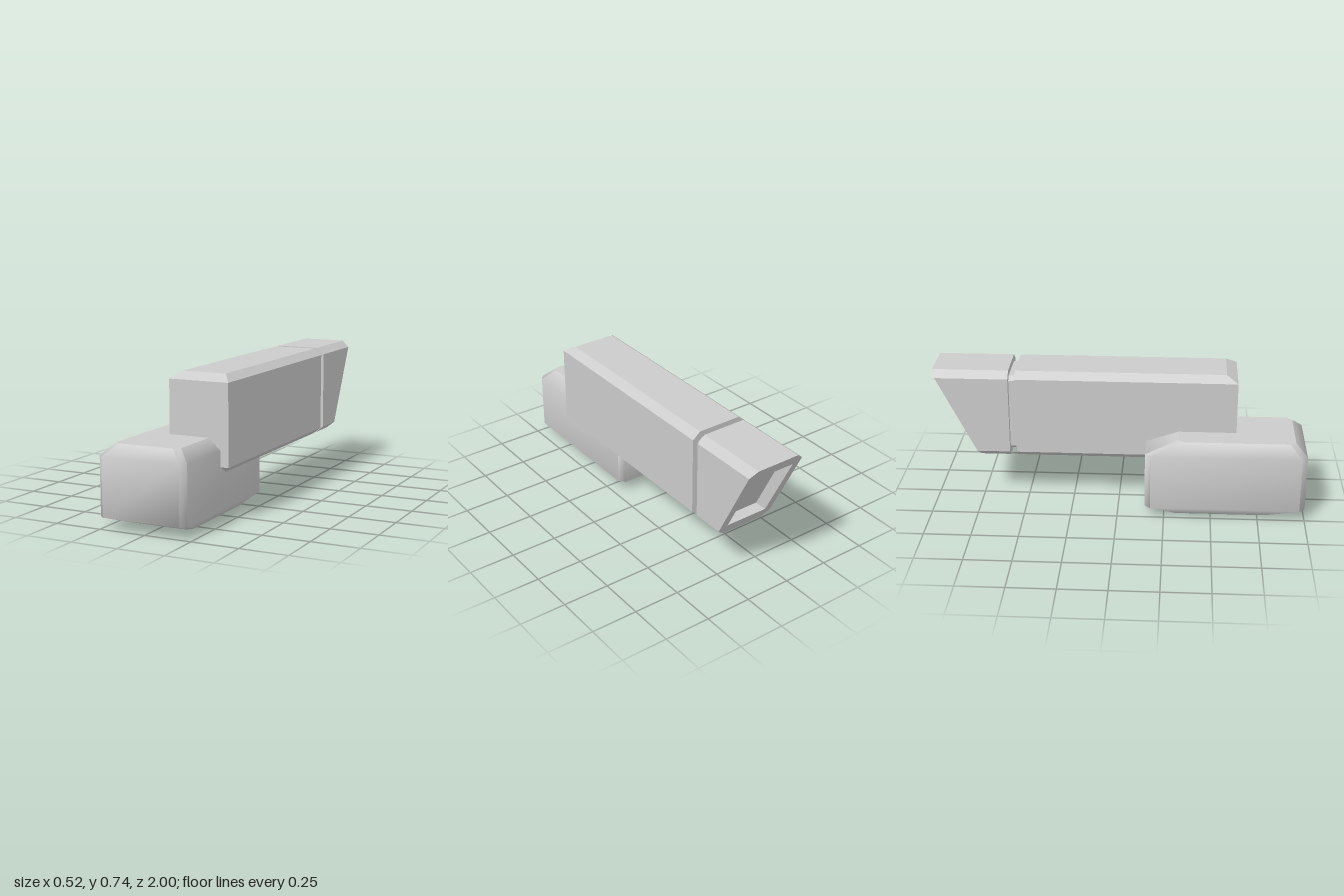
import * as THREE from 'three';
import { mergeGeometries } from 'three/addons/utils/BufferGeometryUtils.js';

const material = new THREE.MeshStandardMaterial({ color: 0xcccccc });

// Rectangle with chamfered corners, counterclockwise in (a, b); place() maps it to 3D.
function octagon(a0, a1, b0, b1, ca, cb, place) {
  return [
    [a1, b0 + cb], [a1, b1 - cb], [a1 - ca, b1], [a0 + ca, b1],
    [a0, b1 - cb], [a0, b0 + cb], [a0 + ca, b0], [a1 - ca, b0],
  ].map(([a, b]) => place(a, b));
}

function patch(points, index, smooth) {
  let g = new THREE.BufferGeometry().setFromPoints(points);
  g.setIndex(index);
  if (smooth) g.computeVertexNormals();
  g = g.toNonIndexed();
  if (!smooth) g.computeVertexNormals();
  return g;
}

// Skin successive rings and close both ends; smooth shades along each strip only.
function loft(name, rings, smooth = false) {
  const n = rings[0].length;
  const parts = [];
  for (let j = 0; j < n; j++) {
    const points = [];
    const index = [];
    rings.forEach((ring, i) => {
      points.push(ring[j], ring[(j + 1) % n]);
      if (i > 0) {
        const k = 2 * i;
        index.push(k - 2, k - 1, k + 1, k - 2, k + 1, k);
      }
    });
    parts.push(patch(points, index, smooth));
  }
  const first = [];
  const last = [];
  for (let j = 1; j < n - 1; j++) {
    first.push(0, j + 1, j);
    last.push(0, j, j + 1);
  }
  parts.push(patch(rings[0], first, false), patch(rings[rings.length - 1], last, false));
  const mesh = new THREE.Mesh(mergeGeometries(parts), material);
  mesh.name = name;
  return mesh;
}

export function createModel() {
  const group = new THREE.Group();
  group.name = 'model';

  const atZ = (z) => (x, y) => new THREE.Vector3(x, y, z);
  const atY = (y) => (z, x) => new THREE.Vector3(x, y, z);
  const slant = (offset) => (x, y) => new THREE.Vector3(x, y, -0.753 - (y - 0.245) * 0.504 + offset);

  // Section of the long upper housing
  const section = (place) => octagon(-0.065, 0.262, 0.245, 0.737, 0.043, 0.035, place);

  // Long housing, bevelled above and below at the front
  group.add(loft('upperHousing', [
    section(atZ(-0.555)),
    section(atZ(0.57)),
    octagon(-0.065, 0.262, 0.28, 0.702, 0, 0, atZ(0.63)),
  ]));

  // Recessed neck joining the housing and the rear end
  const neck = (z) => octagon(-0.032, 0.228, 0.28, 0.702, 0.024, 0.02, atZ(z));
  group.add(loft('neck', [neck(-0.6), neck(-0.55)]));

  // Slanted rear end with a rectangular recess
  const recess = (offset) => octagon(-0.022, 0.218, 0.31, 0.67, 0, 0, slant(offset));
  group.add(loft('rearEnd', [recess(0.07), recess(0), section(slant(0)), section(atZ(-0.592))]));

  // Lower block, tapered towards its top and bottom
  const layer = (y, z0, z1, inset) =>
    octagon(z0, z1, -0.262 + inset, 0.218 - inset, 0.03, 0.028, atY(y));
  group.add(loft('lowerBlock', [
    layer(0, 0.28, 0.82, 0.064),
    layer(0.06, 0.147, 1, 0),
    layer(0.363, 0.147, 1, 0),
    layer(0.422, 0.32, 0.94, 0.064),
  ], true));

  return group;
}
